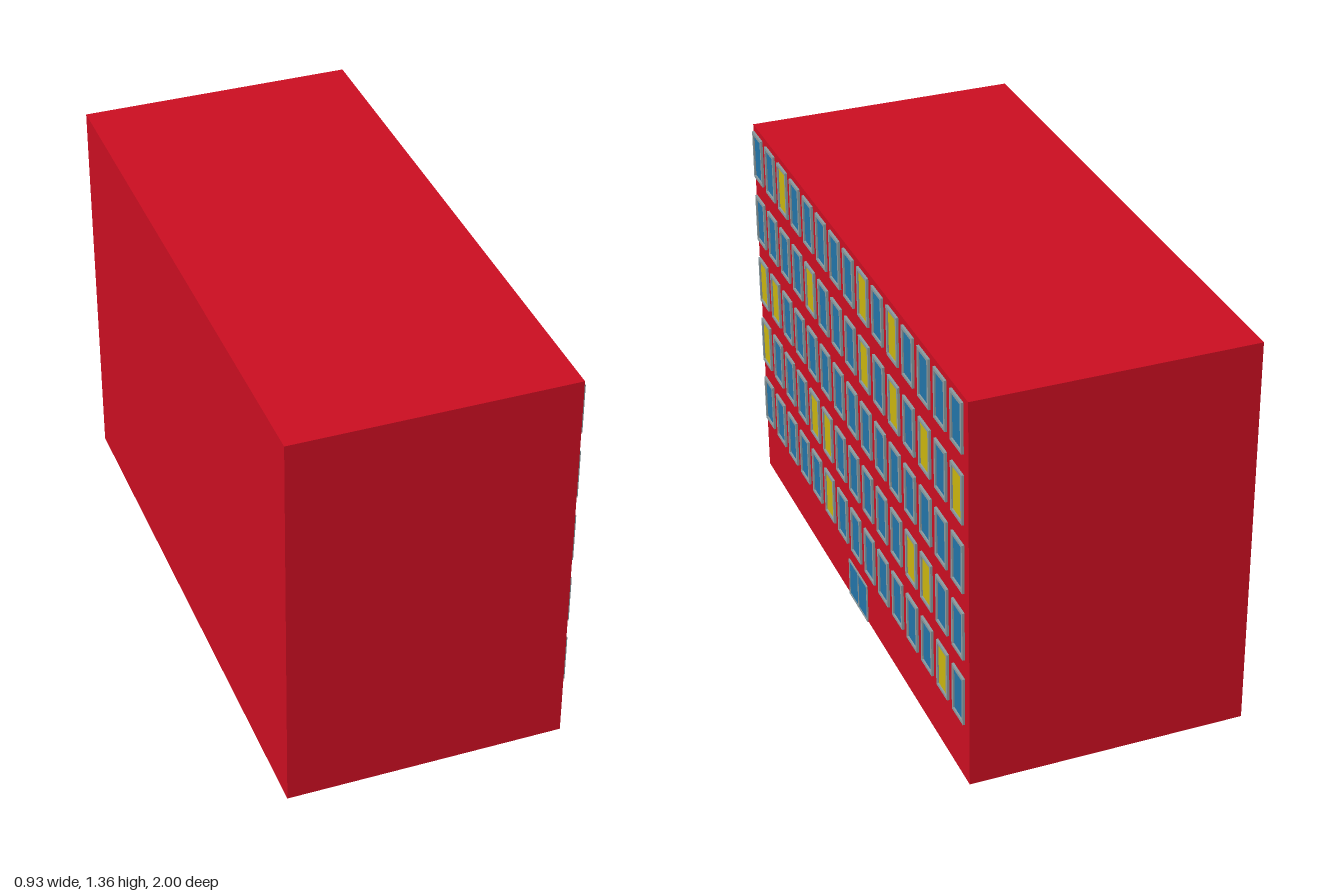
import * as THREE from 'three';

const mat = (name, color) => {
  const m = new THREE.MeshStandardMaterial({ color });
  m.name = name;
  return m;
};

// Rectangular ring in the XY plane, extruded and turned to face +x
function frameGeometry(w, h, border, depth) {
  const rect = (T, a, b) => {
    const s = new T();
    s.moveTo(-a, -b); s.lineTo(a, -b); s.lineTo(a, b); s.lineTo(-a, b); s.closePath();
    return s;
  };
  const shape = rect(THREE.Shape, w / 2, h / 2);
  shape.holes.push(rect(THREE.Path, w / 2 - border, h / 2 - border));
  return new THREE.ExtrudeGeometry(shape, { depth, bevelEnabled: false }).rotateY(Math.PI / 2);
}

export function createModel() {
  const red = mat('wall red', 0xcb0e21);
  const blue = mat('glass blue', 0x2375a9);
  const yellow = mat('lit window yellow', 0xcab50e);
  const grey = mat('frame grey', 0x8b9b9f);

  const root = new THREE.Group();
  root.name = 'apartmentBlock';
  const add = (parent, name, geo, material, x, y, z) => {
    const m = new THREE.Mesh(geo, material);
    m.name = name;
    m.position.set(x, y, z);
    parent.add(m);
  };

  // Main block
  const wallX = 0.457, backX = -0.465, height = 1.355;
  add(root, 'walls', new THREE.BoxGeometry(wallX - backX, height, 2), red,
    (wallX + backX) / 2, height / 2, 0);

  // Window grid: lit columns for each storey, top to bottom
  const lit = [[2, 8, 10], [4, 8, 10, 12, 14], [0, 1], [0, 4, 5, 11, 12], [5, 13]];
  const w = 0.092, h = 0.17, border = 0.01;
  const frameGeo = frameGeometry(w, h, border, 0.008);
  const paneGeo = new THREE.BoxGeometry(0.003, h - 2 * border, w - 2 * border);
  lit.forEach((columns, row) => {
    const storey = new THREE.Group();
    storey.name = `windowRow${row + 1}`;
    for (let c = 0; c < 15; c++) {
      const y = 1.249 - row * 0.2403, z = 0.945 - c * 0.1331;
      add(storey, 'windowFrame', frameGeo, grey, wallX, y, z);
      add(storey, 'windowPane', paneGeo, columns.includes(c) ? yellow : blue, wallX + 0.0015, y, z);
    }
    root.add(storey);
  });

  // Double entrance door
  const door = new THREE.Group();
  door.name = 'entranceDoor';
  const dw = 0.18, dh = 0.142, db = 0.007;
  add(door, 'doorFrame', frameGeometry(dw, dh, db, 0.004), grey, 0, dh / 2, 0);
  add(door, 'doorMullion', new THREE.BoxGeometry(0.004, dh - 2 * db, 0.007), grey, 0.002, dh / 2, 0);
  for (const s of [-1, 1]) {
    add(door, 'doorLeaf', new THREE.BoxGeometry(0.002, dh - db, dw / 2 - db), blue,
      0.001, (dh - db) / 2, s * dw / 4);
  }
  door.position.set(wallX, 0, 0.012);
  root.add(door);

  return root;
}
